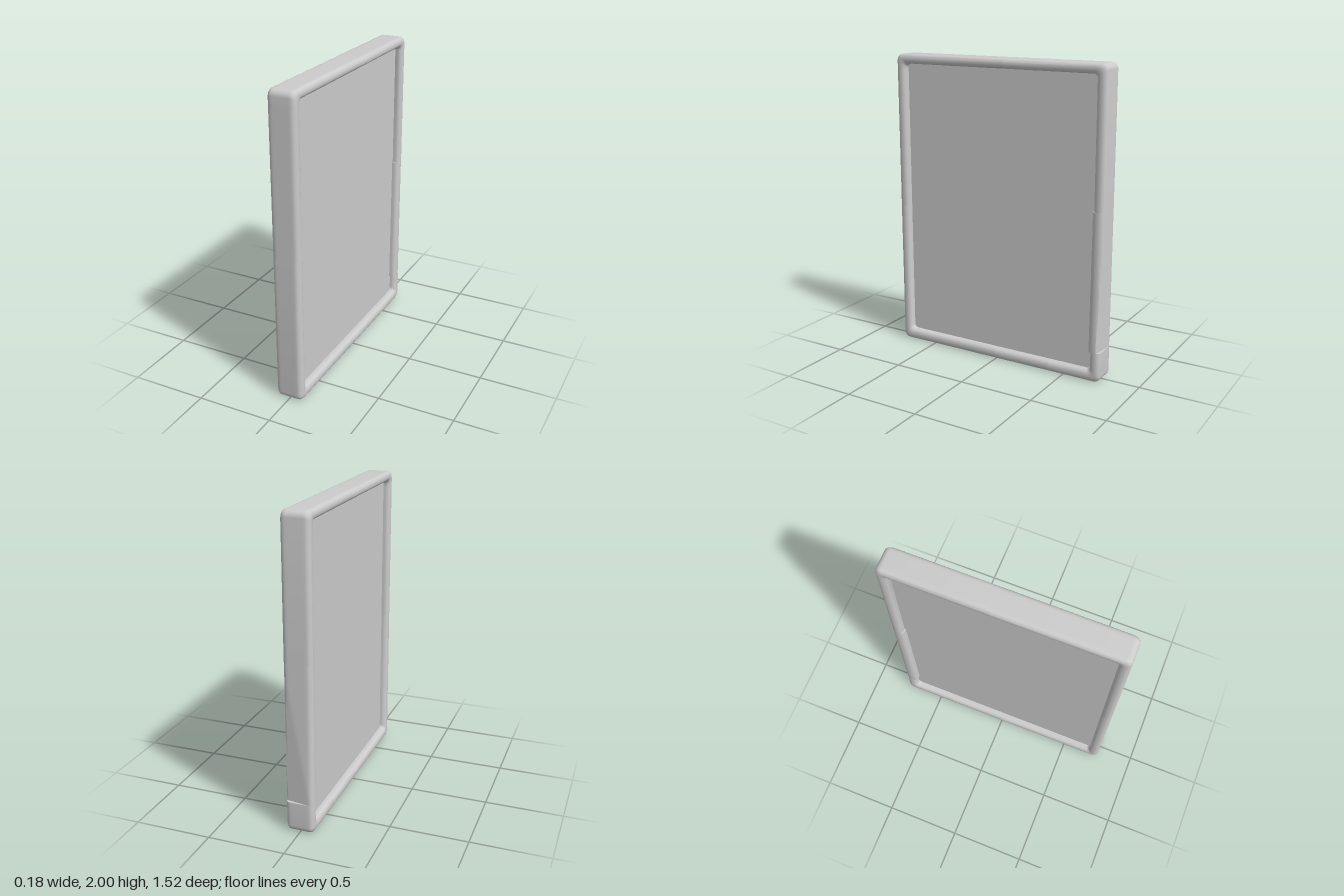
import * as THREE from 'three';
import { toCreasedNormals } from 'three/addons/utils/BufferGeometryUtils.js';

const HALF_X = 0.09, HALF_Z = 0.76, TOP = 2;                 // outer size
const IN_Z = 0.69, IN_LOW = 0.075, IN_HIGH = 1.937;          // frame opening
const PANE = 0.045;                                          // half thickness of the pane

// Rail cross-section: u runs from inner (0) to outer (1), x across the depth
function railProfile() {
  const r = 0.03, w = 0.07, pts = [];
  const corners = [[w - r, HALF_X - r, 0], [r, HALF_X - r, 1], [r, r - HALF_X, 2], [w - r, r - HALF_X, 3]];
  for (const [u, x, q] of corners) {
    for (let k = 0; k <= 5; k++) {
      const a = (q + k / 5) * Math.PI / 2;
      pts.push([(u + r * Math.cos(a)) / w, x + r * Math.sin(a)]);
    }
  }
  // extra points over the flat outer face, so it can be chipped
  for (let k = 1; k < 8; k++) pts.push([1, (HALF_X - r) * (k / 4 - 1)]);
  return pts;
}

// Stations on the rails: o is the outer and i the inner point, both as [z, y]
const onTop = z => ({ o: [z, TOP], i: [z, IN_HIGH] });
const onBottom = z => ({ o: [z, 0], i: [z, IN_LOW] });
const onFront = y => ({ o: [HALF_Z, y], i: [IN_Z, y] });
const onBack = (y, inner = -IN_Z) => ({ o: [-HALF_Z, y], i: [inner, y] });

function corner(sz, high, startAngle) {
  const ro = 0.04, ri = 0.025, sy = high ? 1 : -1, list = [];
  for (let k = 0; k <= 6; k++) {
    const a = startAngle + k / 6 * Math.PI / 2, c = Math.cos(a), s = Math.sin(a);
    list.push({
      o: [sz * (HALF_Z - ro) + ro * c, (high ? TOP : 0) - sy * ro + ro * s],
      i: [sz * (IN_Z - ri) + ri * c, (high ? IN_HIGH : IN_LOW) - sy * ri + ri * s]
    });
  }
  return list;
}

// Sweeps the rail cross-section along stations and caps both ends
function railPiece(stations, rule) {
  const profile = railProfile(), n = profile.length, pos = [], index = [];
  stations.forEach(({ o, i }) => {
    for (const [u, x] of profile) {
      const p = new THREE.Vector3(x, i[1] + (o[1] - i[1]) * u, i[0] + (o[0] - i[0]) * u);
      if (rule) rule(p);
      pos.push(p.x, p.y, p.z);
    }
  });
  for (let s = 0; s < stations.length - 1; s++) {
    for (let j = 0; j < n; j++) {
      const a = s * n + j, b = s * n + (j + 1) % n;
      index.push(a, b, a + n, b, b + n, a + n);
    }
  }
  const end = (stations.length - 1) * n;
  for (let j = 1; j < n - 1; j++) index.push(0, j + 1, j, end, end + j, end + j + 1);
  const g = new THREE.BufferGeometry();
  g.setAttribute('position', new THREE.Float32BufferAttribute(pos, 3));
  g.setIndex(index);
  return toCreasedNormals(g, 0.6);
}

// Flat shard of the pane from corners given as [z, y]
function shard(points) {
  const shape = new THREE.Shape(points.map(([z, y]) => new THREE.Vector2(-z, y)));
  const g = new THREE.ExtrudeGeometry(shape, { depth: 2 * PANE, bevelEnabled: false });
  g.translate(0, 0, -PANE);
  g.rotateY(Math.PI / 2);
  return g;
}

export function createModel() {
  const model = new THREE.Group();
  const material = new THREE.MeshStandardMaterial({ color: 0xcccccc });
  const add = (parent, geometry, name) => {
    const mesh = new THREE.Mesh(geometry, material);
    mesh.name = name;
    parent.add(mesh);
  };

  // Frame, broken into seven pieces
  const frame = new THREE.Group();
  frame.name = 'frame';
  model.add(frame);
  const Q = Math.PI / 2;
  // corner angles run top to back to bottom to front
  const topBack = corner(-1, true, Q), bottomBack = corner(-1, false, 2 * Q);
  const bottomFront = corner(1, false, 3 * Q), topFront = corner(1, true, 0);
  add(frame, railPiece([onTop(-0.06), ...topBack, onBack(1.11)]), 'topBackFramePiece');
  add(frame, railPiece([onBack(0.2), ...bottomBack, onBottom(-0.4)]), 'bottomBackFramePiece');
  add(frame, railPiece([onBottom(-0.4), onBottom(0)]), 'bottomFramePiece');
  add(frame, railPiece([onBottom(0), ...bottomFront, onFront(0.97)]), 'bottomFrontFramePiece');
  add(frame, railPiece([onFront(0.97), onFront(1.9)]), 'frontFramePiece');
  add(frame, railPiece([onFront(1.9), ...topFront, onTop(-0.06)]), 'topFrontFramePiece');

  // Back piece, with a slanting chip along its outer edge
  const backStations = [];
  for (let k = 0; k <= 12; k++) backStations.push(onBack(1.11 - 0.91 * k / 12, -0.682 + 0.006 * k / 12));
  add(frame, railPiece(backStations, p => {
    const edge = HALF_X - 0.16 * (1.11 - p.y) / 0.91;
    if (p.x > edge) p.z = Math.max(p.z, -HALF_Z + 0.15 * (p.x - edge));
  }), 'chippedBackFramePiece');

  // Pane, cracked into shards that meet at shared points
  const pane = new THREE.Group();
  pane.name = 'crackedPane';
  model.add(pane);
  const F = 0.71, K = -0.71, LO = 0.05, HI = 1.955;
  const a = [0.21, 0.70], b = [0.33, 0.32], c = [-0.08, 0.84], d = [-0.32, 0.93];
  const e = [-0.38, 0.99], f = [-0.35, 1.42], g = [-0.21, 1.66], h = [0.20, 1.40];
  const top1 = [0.33, HI], top2 = [-0.04, HI], low1 = [0.275, LO], low2 = [-0.535, LO];
  const front1 = [F, 1.705], front2 = [F, 1.40], front3 = [F, 0.815], front4 = [F, 0.288];
  const back1 = [K, 1.735], back2 = [K, 0.94];
  const shards = [
    [front1, [F, HI], top1],
    [front2, front1, top1, top2, g, h],
    [top2, [K, HI], back1, f, g],
    [f, back1, back2, e],
    [h, g, f, e, d, c],
    [front3, front2, h, c, a],
    [front4, front3, a, b],
    [[F, LO], front4, b, low1],
    [low1, b, a, c, d, low2],
    [low2, d, e, back2, [K, LO]]
  ];
  shards.forEach((points, k) => add(pane, shard(points), `paneShard${k + 1}`));
  return model;
}
